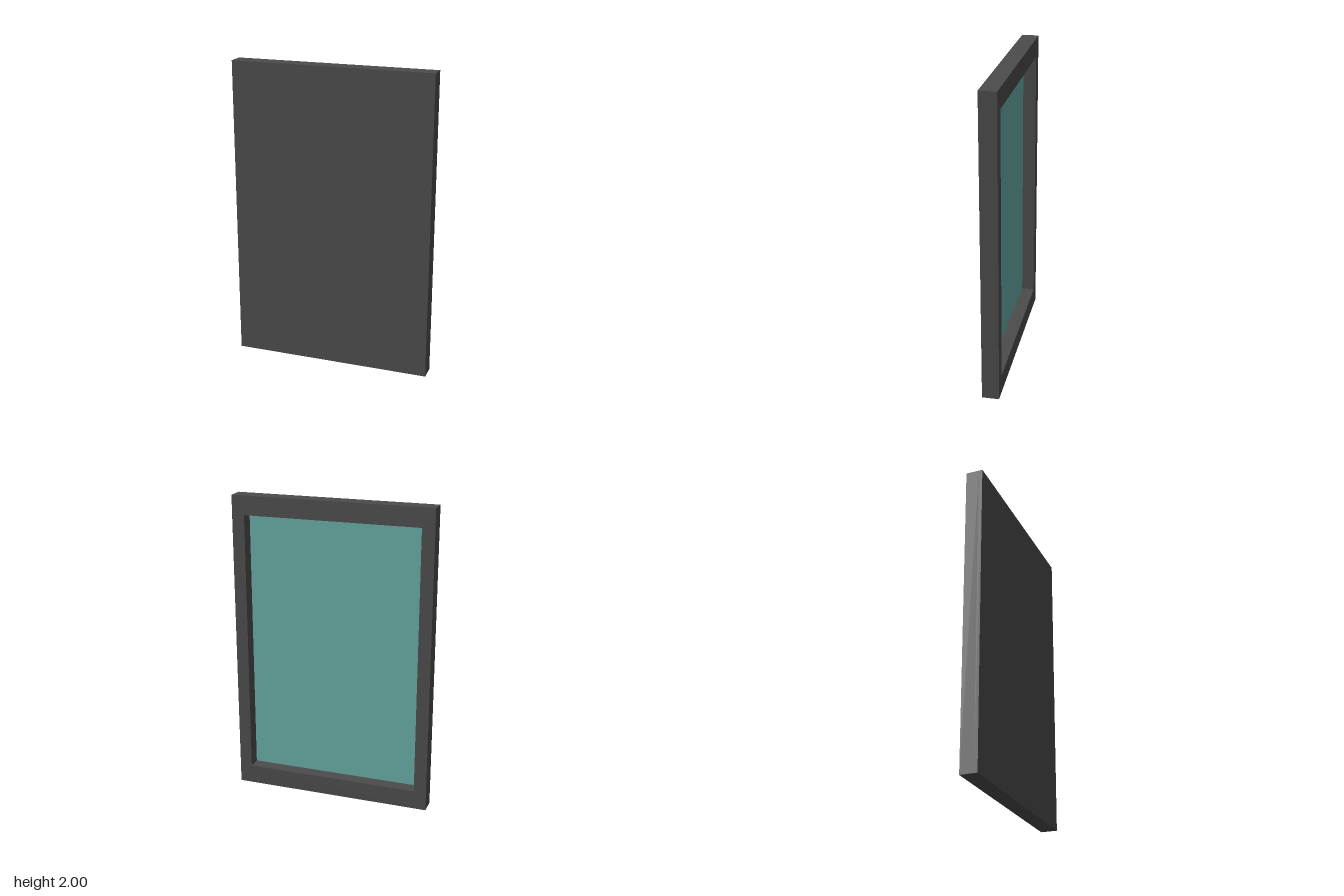
import * as THREE from 'three';

const W = 1.32, H = 2, D = 0.11;      // overall size
const OPENING = 0.875;                // opening size relative to the outline
const RECESS = 0.087;                 // depth of the opening at the back

// Rectangle corners centred on the origin
function corners(w, h) {
  return [[-w, -h], [w, -h], [w, h], [-w, h]].map(([x, y]) => new THREE.Vector2(x / 2, y / 2));
}

export function createModel() {
  const group = new THREE.Group();
  group.name = 'framedPanel';
  const dark = new THREE.MeshStandardMaterial({ color: 0x4c4c4c });
  const teal = new THREE.MeshStandardMaterial({ color: 0x66aaa4 });

  function add(name, geometry, material, z) {
    const mesh = new THREE.Mesh(geometry, material);
    mesh.name = name;
    mesh.position.set(0, H / 2, z);
    group.add(mesh);
    return mesh;
  }

  // Rim around the recess, open towards the back
  const outline = new THREE.Shape(corners(W, H));
  outline.holes.push(new THREE.Path(corners(W * OPENING, H * OPENING).reverse()));
  add('frame', new THREE.ExtrudeGeometry(outline, { depth: RECESS, bevelEnabled: false }), dark, -D / 2);

  // Solid slab closing the front
  const slab = D - RECESS;
  add('frontPanel', new THREE.BoxGeometry(W, H, slab), dark, D / 2 - slab / 2);

  // Coloured sheet on the floor of the recess, facing back
  const sheet = add('pane', new THREE.PlaneGeometry(W * OPENING, H * OPENING), teal, -D / 2 + RECESS - 0.001);
  sheet.rotation.y = Math.PI;

  return group;
}
